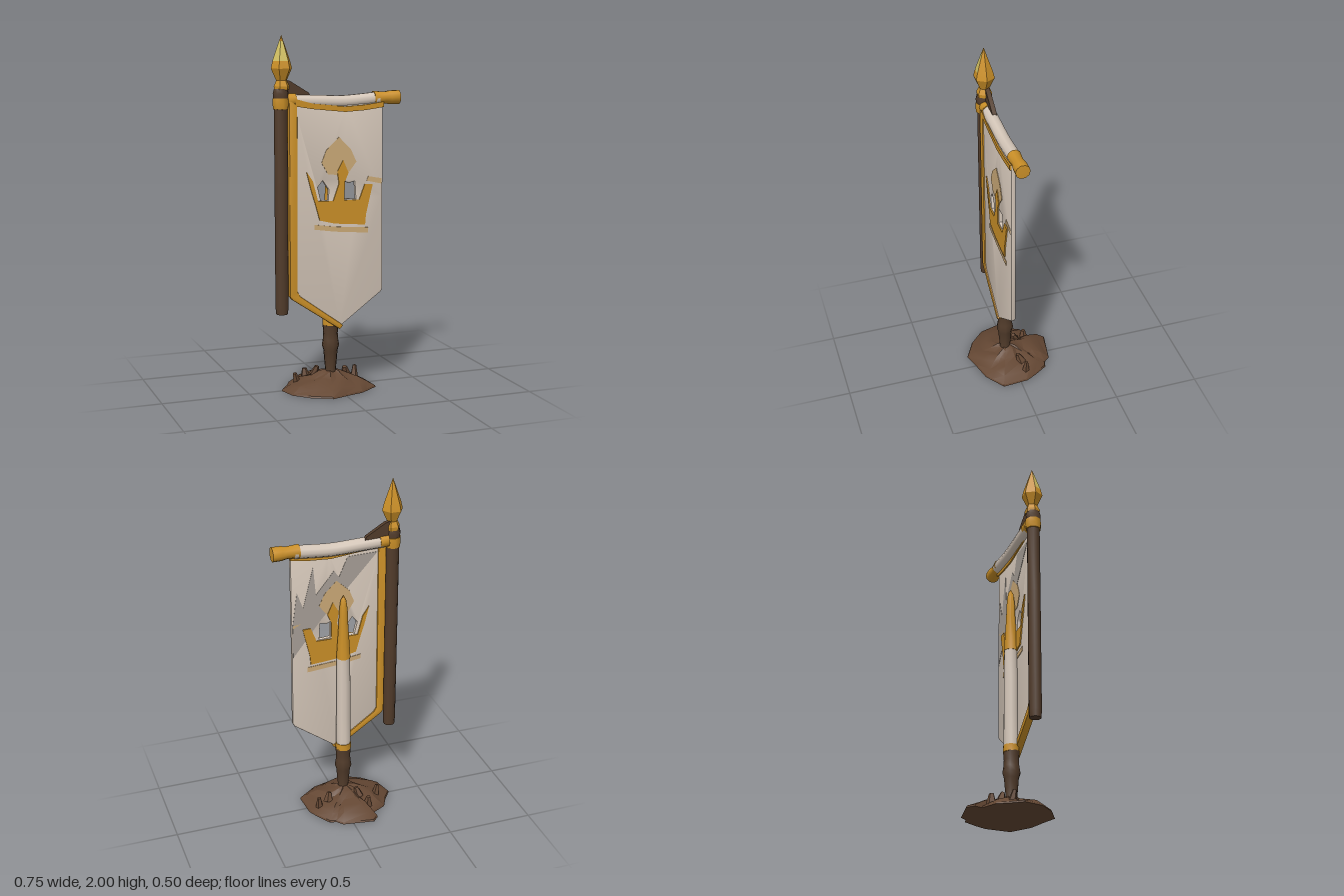
import * as THREE from 'three';
import { toCreasedNormals } from 'three/addons/utils/BufferGeometryUtils.js';

const makeMat = (name, color) => {
  const m = new THREE.MeshStandardMaterial({ color });
  m.name = name;
  return m;
};

export function createModel() {
  const root = new THREE.Group();
  root.name = 'banner';
  const cloth = makeMat('cloth', 0xd6c8ba);
  const gold = makeMat('gold', 0xcb9028);
  const paleGold = makeMat('paleGold', 0xd2c062);
  const fadedGold = makeMat('fadedGold', 0xcdab78);
  const soil = makeMat('soil', 0x644733);
  const wood = makeMat('wood', 0x523c2b);
  const clothLining = makeMat('clothLining', 0xa8a098);

  const add = (name, geo, mat, x = 0, y = 0, z = 0, crease = 0.9) => {
    const m = new THREE.Mesh(toCreasedNormals(geo, crease), mat);
    m.name = name;
    m.position.set(x, y, z);
    root.add(m);
    return m;
  };
  const vec = (pts) => pts.map(([x, y]) => new THREE.Vector2(x, y));
  // profile of [radius, height] pairs turned about the y axis
  const turned = (pts, sides = 10, start = 0) => new THREE.LatheGeometry(vec(pts), sides, start);
  // flat outline, extruded between two z values
  const plate = (name, pts, mat, z0, z1, holes = [], bevel = 0) => {
    const s = new THREE.Shape(vec(pts));
    holes.forEach((h) => s.holes.push(new THREE.Path(vec(h))));
    const geo = new THREE.ExtrudeGeometry(s, {
      depth: z1 - z0 - 2 * bevel, bevelEnabled: bevel > 0, bevelThickness: bevel,
      bevelSize: bevel, bevelOffset: -bevel, bevelSegments: 2,
    });
    return add(name, geo, mat, 0, 0, z0 + bevel, 0.7);
  };
  const BACK = 0.055, FRONT = 0.081;
  // same thin plate on both faces of the cloth
  const bothSides = (name, pts, mat, t) => {
    plate(name + 'Front', pts, mat, FRONT - 0.001, FRONT + t);
    plate(name + 'Back', pts, mat, BACK - t, BACK + 0.001);
  };

  // earth mound: an irregular outline shrunk ring by ring
  const outline = [[-.12, -.255], [.06, -.225], [.09, -.19], [.13, -.18], [.18, -.1], [.21, -.04],
    [.22, .11], [.15, .16], [.11, .19], [0, .22], [-.09, .25], [-.2, .19], [-.28, .11], [-.31, 0],
    [-.26, -.07], [-.23, -.13], [-.14, -.175], [-.155, -.22]];
  const rings = [[.01, 0], [1, 0], [.98, .01], [.8, .037], [.6, .058], [.4, .073], [.22, .098], [.01, .112]];
  const pos = [], idx = [], n = outline.length;
  rings.forEach(([s, y], r) => outline.forEach(([x, z], i) => {
    const bump = r > 2 && r < 7 ? 0.007 * Math.sin(i * 2.3 + r * 1.7) : 0;
    pos.push(-.03 + (x + .03) * s, y + bump, .02 * (1 - s) + z * s);
    if (r === rings.length - 1) return;
    const a = r * n + i, b = r * n + (i + 1) % n;
    idx.push(a, a + n, b, b, a + n, b + n);
  }));
  const moundGeo = new THREE.BufferGeometry();
  moundGeo.setAttribute('position', new THREE.Float32BufferAttribute(pos, 3));
  moundGeo.setIndex(idx);
  add('mound', moundGeo, soil, 0, 0, 0, 0.5);

  // jagged clods on the mound
  [[-.215, .055, -.03, .025, .07, .25], [.15, .06, -.05, .024, .07, -.2], [-.09, .085, -.05, .028, .06, .3],
    [.085, .075, -.03, .03, .055, -.3], [-.13, .055, -.12, .03, .06, .2]].forEach(([x, y, z, r, h, tilt], i) => {
    const clod = add('clod' + (i + 1), new THREE.CylinderGeometry(r * .45, r, h, 5), soil, x, y, z, 0.3);
    clod.rotation.set(0.15, i * 1.3, tilt);
  });

  // central post: wooden foot, gold ring, wrapped shaft and gold spike
  const px = -.026, pz = .026;
  add('postFoot', turned([[0, .06], [.034, .07], [.03, .1], [.036, .16], [.041, .22], [.05, .25],
    [.044, .285], [.042, .32], [.046, .37], [0, .375]], 9), wood, px, 0, pz + .003);
  add('postRing', turned([[0, .36], [.045, .365], [.044, .405], [0, .41]]), gold, px, 0, pz);
  add('postShaft', turned([[.042, .4], [.041, .6], [.04, .8], [.038, .97]]), cloth, px, 0, pz);
  add('postSpike', turned([[0, .965], [.04, .97], [.035, 1.05], [.027, 1.18], [.025, 1.25],
    [.021, 1.29], [.016, 1.33], [0, 1.36]]), gold, px, 0, pz);

  // side pole
  const sx = -.323, sz = .055;
  add('sidePole', turned([[0, .46], [.033, .46], [.036, .5], [.037, 1.2], [.037, 1.61]]), wood, sx, 0, sz);
  add('poleCollar', turned([[0, 1.595], [.043, 1.6], [.047, 1.63], [.045, 1.66], [0, 1.665]], 8), gold, sx, 0, sz);
  add('poleNeck', turned([[.042, 1.655], [.045, 1.685], [.038, 1.71], [0, 1.712]], 8), wood, sx, 0, sz);

  // faceted finial with a bright patch on two facets
  add('finial', turned([[0, 1.7], [.042, 1.705], [.044, 1.725], [.03, 1.755], [.06, 1.82], [.05, 1.86], [0, 2]],
    6, Math.PI / 2), gold, -.317, 0, .052, 0.2);
  add('finialShine', new THREE.CylinderGeometry(.013, .0505, .105, 2, 1, true, -Math.PI / 2, Math.PI * 2 / 3),
    paleGold, -.317, 1.914, .052, 0.2);

  // brace between the finial and the crossbar
  plate('brace', [[-.3, 1.66], [-.15, 1.66], [-.16, 1.685], [-.27, 1.752], [-.3, 1.76]], wood, .03, .055);

  // cloth roll on the crossbar and its gold ends
  const bar = new THREE.CatmullRomCurve3([[-.29, 1.643], [-.12, 1.637], [.04, 1.632], [.16, 1.64], [.25, 1.648]]
    .map(([x, y]) => new THREE.Vector3(x, y, .05)));
  add('clothRoll', new THREE.TubeGeometry(bar, 16, .037, 10), cloth);
  const along = (name, pts, x, y) => {
    add(name, turned(pts), gold, x, y, .05).rotation.z = -Math.PI / 2;
  };
  along('barEnd', [[0, 0], [.039, 0], [.034, .07], [.04, .1], [.041, .153], [0, .155]], .22, 1.65);
  along('barSocket', [[0, 0], [.04, 0], [.039, .05], [0, .052]], -.29, 1.645);

  // hanging cloth with two openings
  const openings = [
    [[-.118, 1.165], [-.09, 1.2], [-.055, 1.15], [-.058, 1.09], [-.1, 1.09]],
    [[.042, 1.19], [.065, 1.18], [.1, 1.19], [.106, 1.09], [.042, 1.095]],
  ];
  plate('clothPanel', [[-.265, .565], [.01, .365], [.262, .55], [.272, .57], [.268, 1.1], [.268, 1.63],
    [.05, 1.62], [-.265, 1.64]], cloth, BACK, FRONT, openings, .006);

  // gold hem down one side and along half of the lower edge
  plate('goldHem', [[-.285, .56], [-.27, .54], [.01, .352], [.03, .372], [.012, .387], [-.225, .558],
    [-.24, .585], [-.238, 1.62], [-.285, 1.65]], gold, BACK - .008, FRONT + .008, [], .006);
  bothSides('topTrim', [[-.25, 1.615], [-.15, 1.598], [.04, 1.578], [.16, 1.585], [.27, 1.6], [.27, 1.63],
    [.16, 1.615], [.04, 1.608], [-.15, 1.628], [-.25, 1.655]], gold, .008);

  // crown emblem
  bothSides('crown', [[-.11, .98], [-.02, .958], [.16, .943], [.165, 1], [.205, 1.17], [.158, 1.172],
    [.125, 1.086], [.036, 1.086], [.038, 1.19], [.06, 1.24], [.028, 1.312], [-.006, 1.25], [.004, 1.18],
    [-.03, 1.086], [-.12, 1.088], [-.15, 1.2], [-.187, 1.255], [-.16, 1.15], [-.135, 1.07]], gold, .007);
  // faded paint above, below and beside the crown
  bothSides('fadedPeak', [[-.06, 1.235], [.05, 1.225], [.108, 1.3], [.075, 1.37], [.005, 1.44], [-.07, 1.37],
    [-.098, 1.3]], fadedGold, .003);
  bothSides('fadedBand', [[-.14, .93], [-.02, .912], [.18, .895], [.18, .925], [-.02, .94], [-.14, .957]],
    fadedGold, .003);
  bothSides('fadedDash', [[.17, 1.19], [.26, 1.17], [.26, 1.2], [.18, 1.215]], fadedGold, .002);

  // bare lining in a ragged corner at the back
  plate('raggedLining', [[-.235, 1.58], [.1, 1.21], [.262, 1], [.262, 1.2], [.235, 1.4], [.2, 1.3], [.14, 1.54],
    [.125, 1.37], [.02, 1.5], [-.01, 1.46], [-.06, 1.575]], clothLining, BACK - .002, BACK + .001);
  return root;
}
